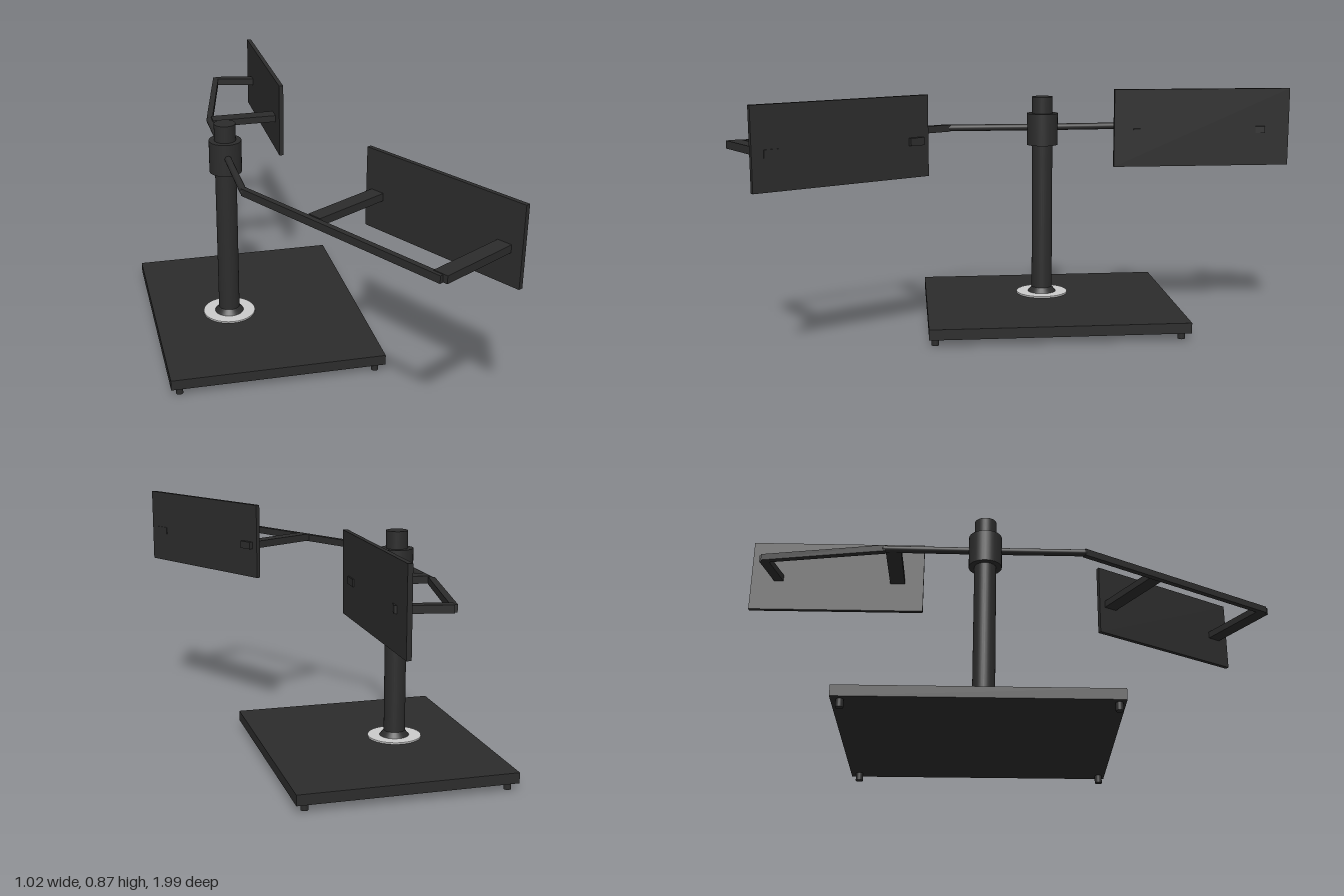
import * as THREE from 'three';

export function createModel() {
  const model = new THREE.Group();
  const dark = new THREE.MeshStandardMaterial({ color: 0x2c2c2c });
  const grey = new THREE.MeshStandardMaterial({ color: 0xcccccc });
  const PX = -0.225, PZ = -0.125; // column axis

  function add(name, geometry, x, y, z, material = dark) {
    const mesh = new THREE.Mesh(geometry, material);
    mesh.name = name;
    mesh.position.set(x, y, z);
    model.add(mesh);
    return mesh;
  }

  // Upright cylinder between two heights
  function post(name, rTop, rBottom, y0, y1, x = PX, z = PZ, material = dark) {
    return add(name, new THREE.CylinderGeometry(rTop, rBottom, y1 - y0, 32), x, (y0 + y1) / 2, z, material);
  }

  // Rectangular bar whose centre line joins two points
  function bar(name, a, b, width, height) {
    const p = new THREE.Vector3(...a), q = new THREE.Vector3(...b);
    const mid = p.clone().add(q).multiplyScalar(0.5);
    const mesh = add(name, new THREE.BoxGeometry(width, height, p.distanceTo(q)), mid.x, mid.y, mid.z);
    mesh.lookAt(q);
    return mesh;
  }

  // Round rod joining two points, with a rounded joint at its far end
  function rod(name, a, b, r) {
    const path = new THREE.LineCurve3(new THREE.Vector3(...a), new THREE.Vector3(...b));
    add(name, new THREE.TubeGeometry(path, 1, r, 16), 0, 0, 0);
    add(name + 'Joint', new THREE.SphereGeometry(r, 16, 12), ...b);
  }

  // Base plate on four feet
  add('basePlate', new THREE.BoxGeometry(0.775, 0.038, 0.93), -0.1225, 0.046, -0.14);
  for (const x of [-0.479, 0.231])
    for (const z of [-0.575, 0.303]) post('foot', 0.013, 0.013, 0, 0.028, x, z);

  // Column with flange, flared foot and collar
  post('flange', 0.098, 0.098, 0.064, 0.071, PX, PZ, grey);
  post('columnFlare', 0.039, 0.054, 0.071, 0.09);
  post('column', 0.039, 0.039, 0.07, 0.828);
  post('collar', 0.059, 0.059, 0.645, 0.765);

  // Front arm, bent outward, with two cross bars
  rod('frontArmInner', [PX, 0.712, PZ], [PX, 0.712, 0.23], 0.0125);
  bar('frontArmOuter', [PX, 0.712, 0.23], [0.213, 0.714, 0.98], 0.02, 0.026);
  bar('frontCrossBar', [-0.05, 0.716, 0.512], [0.226, 0.718, 0.353], 0.053, 0.027);
  bar('frontCrossBar', [0.21, 0.716, 0.971], [0.48, 0.718, 0.815], 0.053, 0.027);

  // Rear arm, bent inward, with two cross bars
  rod('rearArmInner', [PX, 0.712, PZ], [PX, 0.714, -0.485], 0.0125);
  bar('rearArmOuter', [PX, 0.714, -0.48], [-0.125, 0.724, -0.937], 0.022, 0.024);
  bar('rearCrossBar', [-0.22, 0.718, -0.453], [0.045, 0.72, -0.453], 0.055, 0.025);
  bar('rearCrossBar', [-0.128, 0.724, -0.93], [0.045, 0.724, -0.893], 0.034, 0.025);

  // Flat panels carried by the arms
  const panel = new THREE.BoxGeometry(0.016, 0.28, 0.645);
  add('rearPanel', panel, 0.032, 0.734, -0.678);
  add('frontPanel', panel, 0.3425, 0.734, 0.6).rotation.y = Math.PI / 6;

  return model;
}
